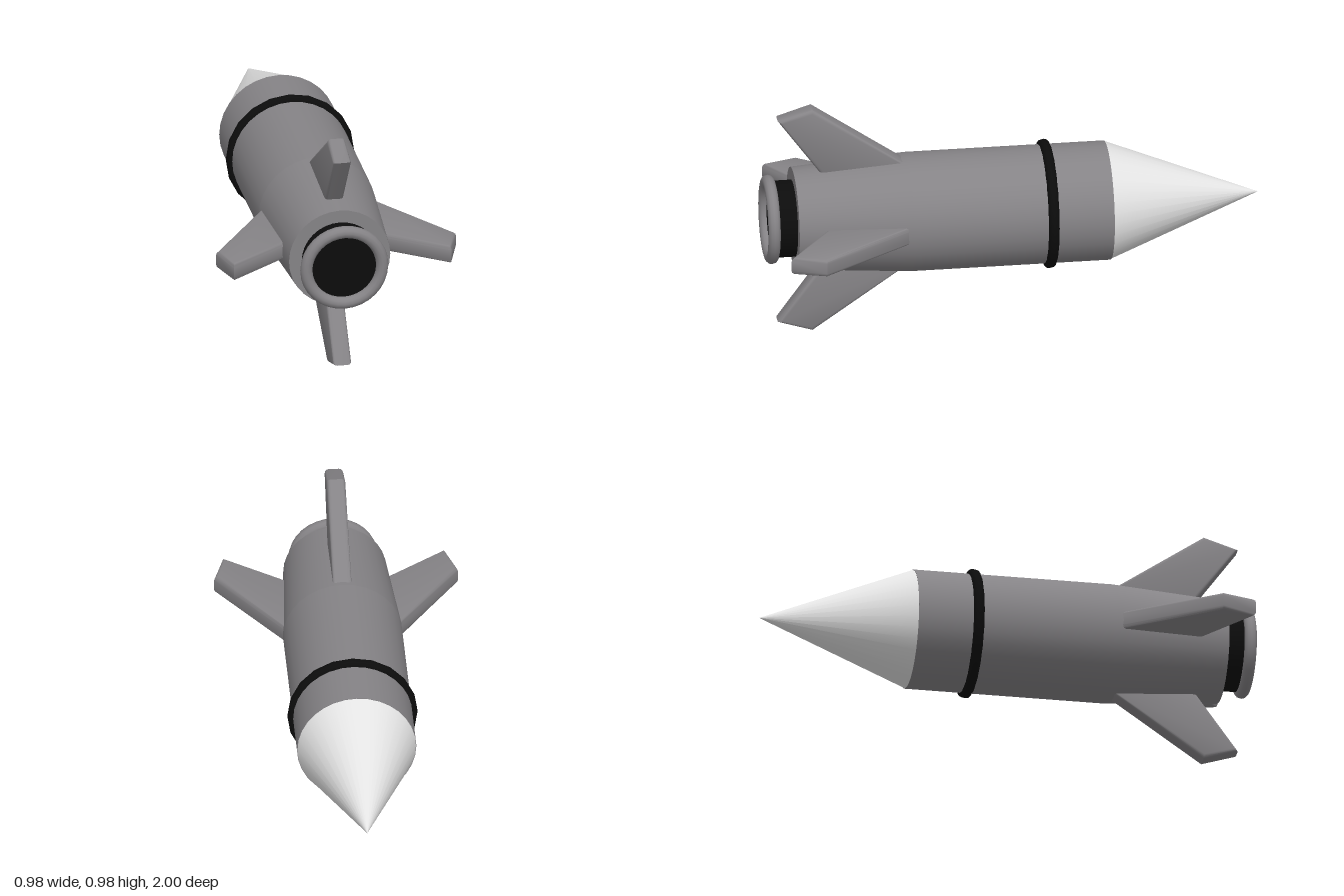
import * as THREE from 'three';
import { toCreasedNormals } from 'three/addons/utils/BufferGeometryUtils.js';

const paint = (name, color) => {
  const m = new THREE.MeshStandardMaterial({ color });
  m.name = name;
  return m;
};

export function createModel() {
  const grey = paint('hull grey', 0x858386);
  const white = paint('nose white', 0xe4e4e4);
  const black = paint('trim black', 0x0c0c0c);

  const model = new THREE.Group();
  model.name = 'rocket';

  // The rocket is built along +y (nose), then laid down with its nose to -z
  const rocket = new THREE.Group();
  rocket.name = 'rocketBody';
  rocket.rotation.x = -Math.PI / 2;
  rocket.position.y = 0.49;
  model.add(rocket);

  const add = (name, geometry, material, parent = rocket) => {
    const mesh = new THREE.Mesh(geometry, material);
    mesh.name = name;
    parent.add(mesh);
    return mesh;
  };
  // Cylinder between two heights along the rocket axis
  const tube = (name, rLow, low, rHigh, high, material, open = false) => {
    const g = new THREE.CylinderGeometry(rHigh, rLow, high - low, 32, 1, open);
    return add(name, g.translate(0, (low + high) / 2, 0), material);
  };
  const ring = (name, radius, thickness, at, segments, material) => {
    const g = new THREE.TorusGeometry(radius, thickness, 12, segments);
    return add(name, g.rotateX(Math.PI / 2).translate(0, at, 0), material);
  };

  // Hull and nose
  tube('hull', 0.24, -0.42, 0.24, 0.39, grey);
  tube('hullTaper', 0.207, -0.88, 0.24, -0.42, grey);
  tube('noseCone', 0.238, 0.39, 0, 1, white);
  ring('hullBand', 0.24, 0.022, 0.145, 20, black);

  // Nozzle
  tube('nozzle', 0.155, -0.97, 0.155, -0.86, black);
  ring('nozzleRim', 0.155, 0.025, -0.975, 32, grey);

  // Swept fins with bevelled edges, roots sunk into the hull
  const outline = new THREE.Shape([
    [0.18, -0.36], [0.18, -0.755], [0.445, -0.945], [0.49, -0.805],
  ].map(([r, y]) => new THREE.Vector2(r, y)));
  const bevel = 0.016;
  const finGeometry = toCreasedNormals(new THREE.ExtrudeGeometry(outline, {
    depth: 0.075 - 2 * bevel,
    bevelThickness: bevel,
    bevelSize: bevel,
    bevelOffset: -bevel,
    bevelSegments: 3,
  }).translate(0, 0, bevel - 0.0375), 0.7);
  ['leftFin', 'lowerFin', 'rightFin', 'upperFin'].forEach((name, i) => {
    add(name, finGeometry, grey).rotation.y = i * Math.PI / 2;
  });

  return model;
}
